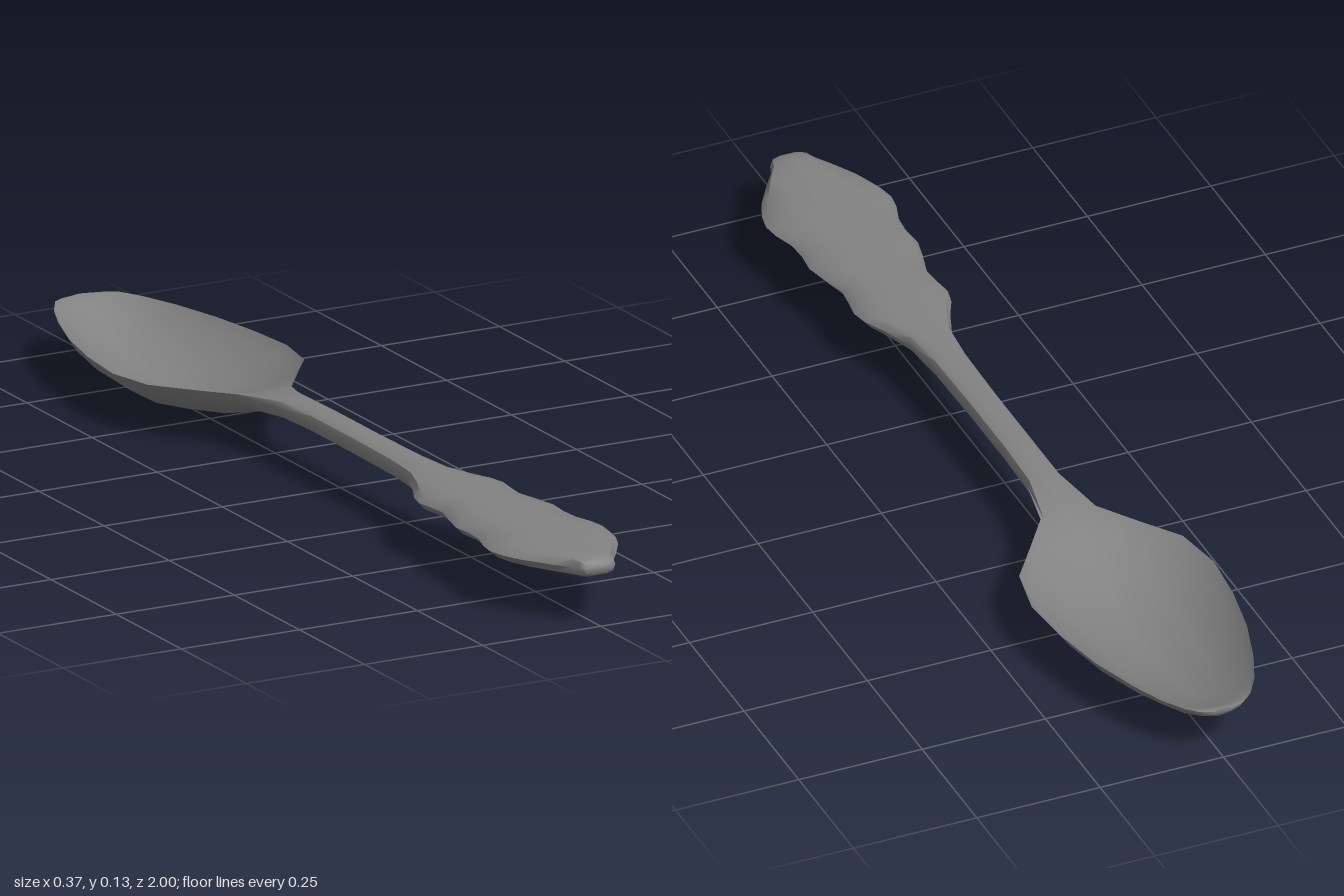
import * as THREE from 'three';
import { toCreasedNormals } from 'three/addons/utils/BufferGeometryUtils.js';

// Stations from bowl tip to handle end:
// z, half width, rim height, top centre, bottom centre, bowl shape (1) or handle shape (0)
const bowl = [
  [-1.0, 0.018, 0.105, 0.108, 0.099, 0.5],
  [-0.993, 0.042, 0.107, 0.108, 0.09, 0.7],
  [-0.975, 0.066, 0.109, 0.099, 0.076, 1],
  [-0.93, 0.094, 0.108, 0.075, 0.052, 1],
  [-0.86, 0.123, 0.107, 0.048, 0.027, 1],
  [-0.76, 0.154, 0.105, 0.027, 0.008, 1],
  [-0.65, 0.175, 0.104, 0.018, 0, 1],
  [-0.54, 0.185, 0.104, 0.026, 0.007, 1],
  [-0.44, 0.166, 0.106, 0.05, 0.026, 1],
  [-0.36, 0.107, 0.108, 0.083, 0.05, 0.9],
  [-0.29, 0.056, 0.111, 0.11, 0.073, 0.5],
  [-0.18, 0.034, 0.112, 0.128, 0.089, 0],
  [-0.06, 0.032, 0.112, 0.132, 0.093, 0],
];
// Plain handle stations: z, half width
const handle = [
  [0.1, 0.032], [0.25, 0.035], [0.34, 0.044], [0.4, 0.067], [0.44, 0.087],
  [0.475, 0.095], [0.51, 0.09], [0.55, 0.086], [0.6, 0.1], [0.645, 0.11],
  [0.69, 0.106], [0.73, 0.109], [0.77, 0.122], [0.805, 0.127], [0.84, 0.12],
  [0.88, 0.103], [0.93, 0.071], [0.965, 0.046],
].map(([z, w]) => [z, w, 0.112, 0.132, 0.092, 0]);
const tip = [
  [0.985, 0.039, 0.112, 0.13, 0.095, 0],
  [0.995, 0.033, 0.112, 0.125, 0.099, 0],
  [1.0, 0.022, 0.112, 0.119, 0.105, 0],
];

// Ring across the spoon, counter-clockwise seen from the handle end
function ring([z, w, rim, top, bottom, k]) {
  const mix = (a, b) => a + (b - a) * k;
  const edge = mix(0.72, 0.25), mid = mix(1, 0.73), x9 = mix(0.87, 0.9);
  const up = [[x9, edge], [0.5, mid], [0, 1], [-0.5, mid], [-x9, edge]];
  const at = (end) => ([x, f]) => [x * w, rim + (end - rim) * f, z];
  return [[w, rim, z], ...up.map(at(top)), [-w, rim, z], ...up.slice().reverse().map(at(bottom))];
}

// Skin consecutive rings and close both ends
function loft(stations) {
  const rings = stations.map(ring), n = rings[0].length;
  const points = rings.flat(), index = [];
  for (let i = 0; i < rings.length - 1; i++) {
    for (let j = 0; j < n; j++) {
      const a = i * n + j, b = i * n + (j + 1) % n;
      index.push(a, b, a + n, b, b + n, a + n);
    }
  }
  const last = (rings.length - 1) * n;
  for (let j = 1; j < n - 1; j++) {
    index.push(0, j + 1, j, last, last + j, last + j + 1);
  }
  const geometry = new THREE.BufferGeometry();
  geometry.setAttribute('position', new THREE.Float32BufferAttribute(points.flat(), 3));
  geometry.setIndex(index);
  return toCreasedNormals(geometry, THREE.MathUtils.degToRad(45));
}

export function createModel() {
  const group = new THREE.Group();
  group.name = 'spoon';
  const material = new THREE.MeshStandardMaterial({ color: 0x828282 });
  // Bowl, neck and scalloped handle are one continuous piece
  const body = new THREE.Mesh(loft([...bowl, ...handle, ...tip]), material);
  body.name = 'bowlAndHandle';
  group.add(body);
  return group;
}
